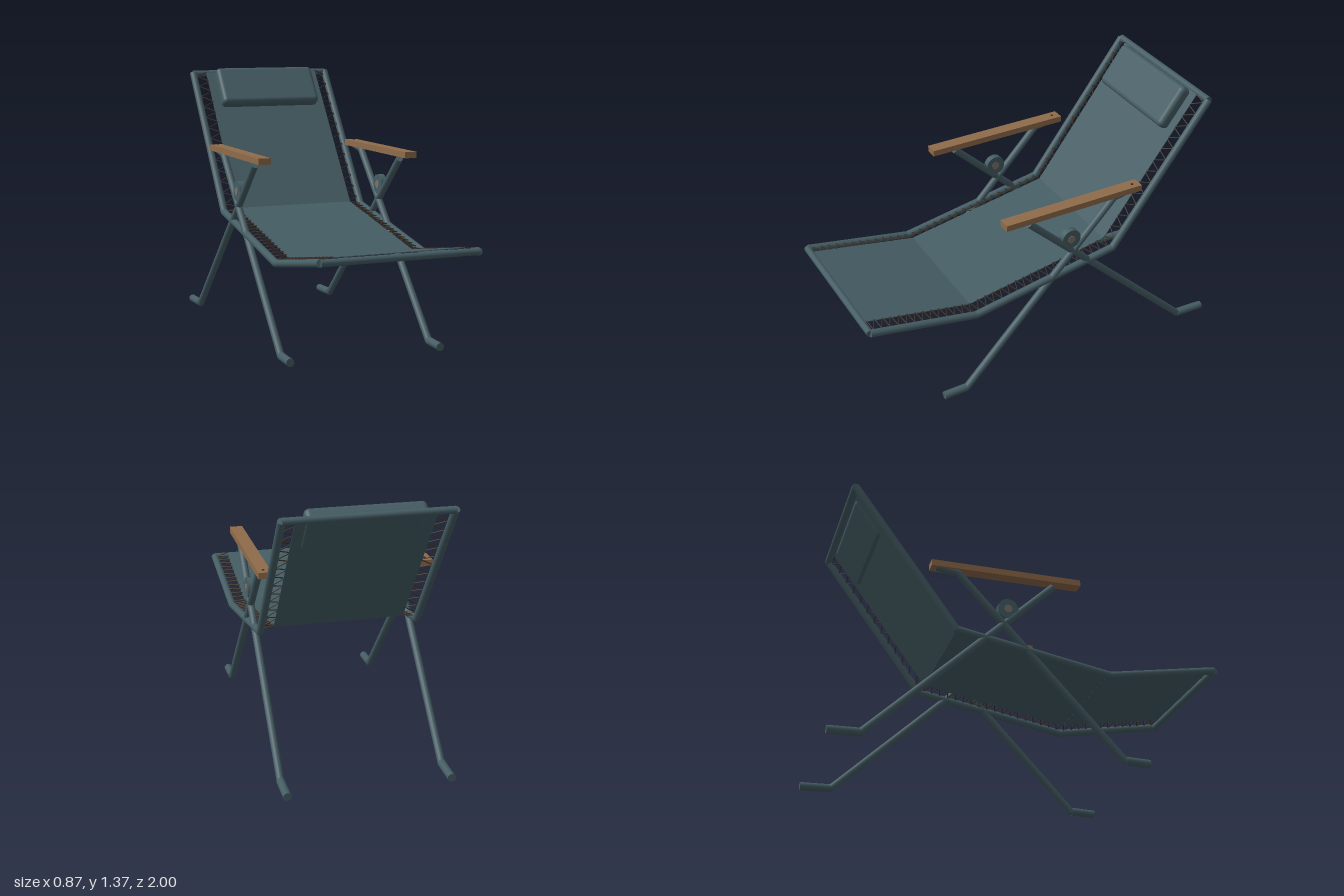
import * as THREE from 'three';
import { mergeGeometries } from 'three/addons/utils/BufferGeometryUtils.js';
import { RoundedBoxGeometry } from 'three/addons/geometries/RoundedBoxGeometry.js';

const material = (name, color) => {
  const m = new THREE.MeshStandardMaterial({ color });
  m.name = name;
  return m;
};
const V = (x, y, z) => new THREE.Vector3(x, y, z);

// Cylinder running from a to b
function rod(a, b, r, sides = 16) {
  const d = b.clone().sub(a);
  const g = new THREE.CylinderGeometry(r, r, d.length(), sides);
  g.applyQuaternion(new THREE.Quaternion().setFromUnitVectors(V(0, 1, 0), d.normalize()));
  const mid = a.clone().add(b).multiplyScalar(0.5);
  return g.translate(mid.x, mid.y, mid.z);
}

// Bent tube through [z, y] points at a fixed x, with rounded elbows
function bentTube(x, pts, r) {
  const p = pts.map(([z, y]) => V(x, y, z));
  const parts = [];
  for (let i = 0; i + 1 < p.length; i++) {
    parts.push(rod(p[i], p[i + 1], r));
    if (i > 0) parts.push(new THREE.SphereGeometry(r, 16, 10).translate(p[i].x, p[i].y, p[i].z));
  }
  return mergeGeometries(parts);
}

export function createModel() {
  const model = new THREE.Group();
  model.name = 'recliner';
  const teal = material('teal', 0x455d64);
  const wood = material('wood', 0x8f6b4a);
  const cordBrown = material('dark cord', 0x3d3026);
  const hubGrey = material('hub metal', 0x7d7267);

  const add = (name, geometry, mat) => {
    const mesh = new THREE.Mesh(geometry, mat);
    mesh.name = name;
    model.add(mesh);
    return mesh;
  };

  const R = 0.0195;
  const X = 0.405;
  // Side profiles as [z, y]
  const frame = [[0.98, 0.575], [0.41, 0.475], [-0.39, 0.62], [-0.927, 1.347]];
  const cloth = [[0.972, 0.595], [0.41, 0.495], [-0.379, 0.638], [-0.905, 1.35]];
  const frontLeg = [[0.5, 0.026], [0.47, 0.026], [-0.385, 0.933], [-0.5, 0.953]];
  const rearLeg = [[-0.9, 0.026], [-0.84, 0.026], [0.11, 0.928]];

  for (const s of [1, -1]) {
    const side = s > 0 ? 'left' : 'right';
    add(side + 'FrameRail', bentTube(s * X, frame, R), teal);
    add(side + 'FrontLeg', bentTube(s * X, frontLeg, 0.019), teal);
    add(side + 'RearLeg', bentTube(s * X, rearLeg, 0.019), teal);

    // Slightly thicker foot sleeves
    add(side + 'FrontFoot', rod(V(s * X, 0.022, 0.6), V(s * X, 0.026, 0.475), 0.021), teal);
    add(side + 'RearFoot', rod(V(s * X, 0.022, -1), V(s * X, 0.026, -0.845), 0.021), teal);

    // Armrest board with a screw near its back end
    add(side + 'Armrest', new THREE.BoxGeometry(0.066, 0.032, 0.78), wood)
      .position.set(s * 0.403, 0.96, -0.14);
    add(side + 'Screw', new THREE.CylinderGeometry(0.007, 0.007, 0.003, 10), cordBrown)
      .position.set(s * X, 0.977, -0.49);

    // Locking knob above the leg crossing
    add(side + 'Knob', rod(V(s * 0.388, 0.765, -0.13), V(s * 0.422, 0.765, -0.13), 0.053, 28), teal);
    add(side + 'KnobHub', rod(V(s * 0.385, 0.765, -0.13), V(s * 0.425, 0.765, -0.13), 0.021, 20), hubGrey);

    // Zigzag lacing between cloth edge and rail
    const cords = [];
    [13, 18, 13].forEach((count, i) => {
      const at = (pts, t, x, lift) => V(x,
        THREE.MathUtils.lerp(pts[i][1], pts[i + 1][1], t) + lift,
        THREE.MathUtils.lerp(pts[i][0], pts[i + 1][0], t));
      for (let k = 0; k < count; k++) {
        const inner = at(cloth, (k + 0.1) / count, s * 0.333, 0.004);
        const outer = at(frame, (k + 0.5) / count, s * 0.392, 0.012);
        const next = at(cloth, (k + 0.98) / count, s * 0.333, 0.004);
        cords.push(rod(inner, outer, 0.0028, 6), rod(outer, next, 0.0028, 6));
      }
    });
    add(side + 'Lacing', mergeGeometries(cords), cordBrown);
  }

  // Cross bars at the two ends of the frame
  add('footBar', rod(V(-X, 0.575, 0.982), V(X, 0.575, 0.982), 0.018), teal);
  add('headBar', rod(V(-X, 1.345, -0.928), V(X, 1.345, -0.928), 0.018), teal);

  // Cloth sling in three flat panels
  ['footPanel', 'seatPanel', 'backPanel'].forEach((name, i) => {
    const a = V(0, cloth[i][1], cloth[i][0]);
    const b = V(0, cloth[i + 1][1], cloth[i + 1][0]);
    const panel = add(name, new THREE.BoxGeometry(0.67, 0.004, a.distanceTo(b)), teal);
    panel.position.copy(a).add(b).multiplyScalar(0.5);
    panel.rotation.x = Math.atan2(b.y - a.y, a.z - b.z);
  });

  // Head pillow lying on the back panel
  const pillow = add('pillow', new RoundedBoxGeometry(0.58, 0.073, 0.24, 4, 0.026), teal);
  pillow.position.set(0, 1.268, -0.813);
  pillow.rotation.x = Math.atan2(0.727, 0.537);

  return model;
}
